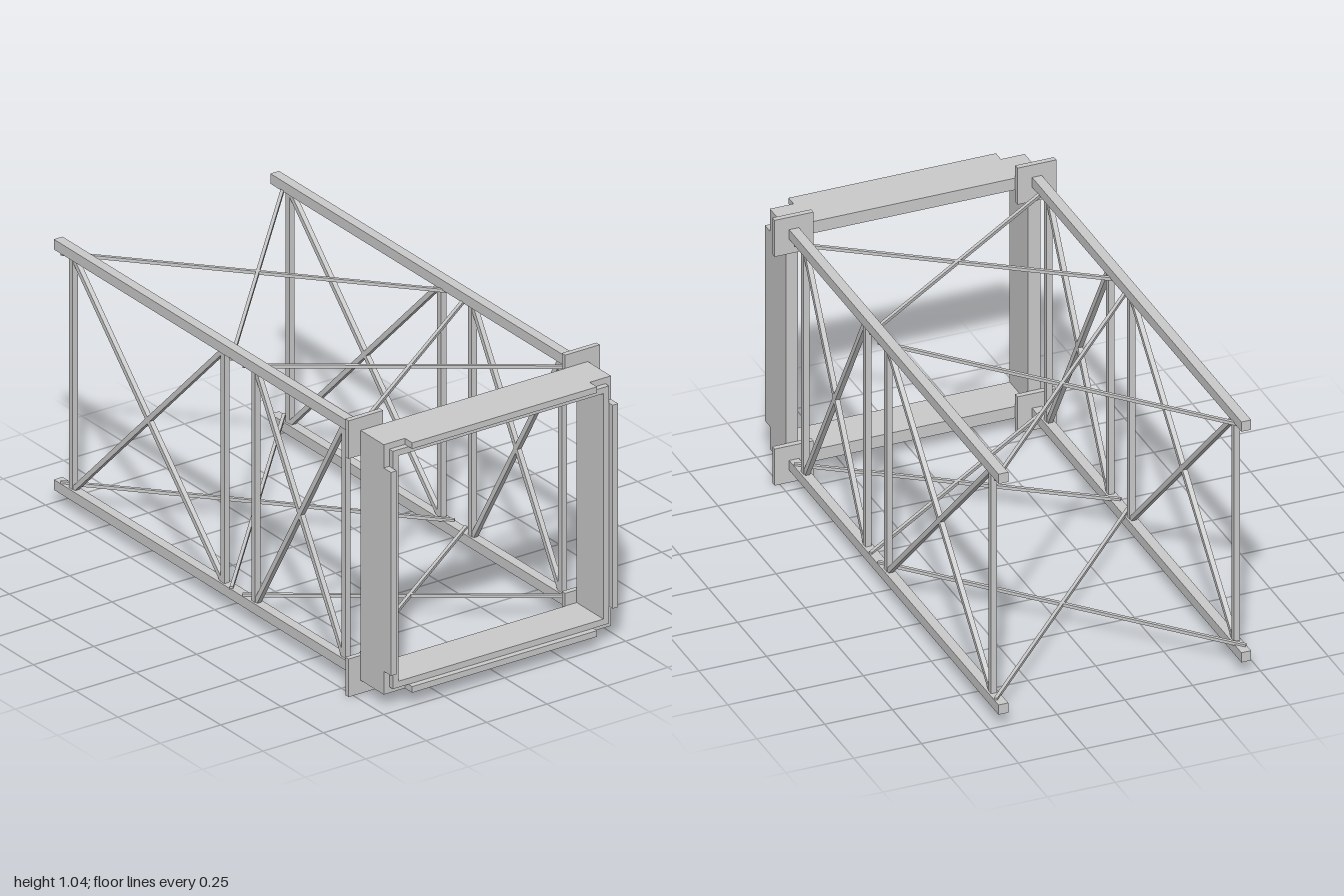
import * as THREE from 'three';

const material = new THREE.MeshStandardMaterial({ color: 0xcccccc, flatShading: true });
const CY = 0.52;      // height of the long axis
const R = 0.448;      // distance of each rail from the axis

function add(parent, name, geometry) {
  const mesh = new THREE.Mesh(geometry, material);
  mesh.name = name;
  parent.add(mesh);
  return mesh;
}

function box(parent, name, size, pos) {
  const mesh = add(parent, name, new THREE.BoxGeometry(...size));
  mesh.position.set(...pos);
  return mesh;
}

// Square bar between two points
function bar(parent, name, a, b, w) {
  const p = new THREE.Vector3(...a), q = new THREE.Vector3(...b);
  const mesh = box(parent, name, [w, w, p.distanceTo(q)], p.clone().add(q).multiplyScalar(0.5).toArray());
  mesh.quaternion.setFromRotationMatrix(new THREE.Matrix4().lookAt(q, p, mesh.up));
}

// Square ring with a square opening, from z0 to z1
function ring(parent, name, outer, inner, z0, z1) {
  const square = (T, r) => new T([[-r, -r], [r, -r], [r, r], [-r, r]].map(p => new THREE.Vector2(...p)));
  const shape = square(THREE.Shape, outer);
  shape.holes.push(square(THREE.Path, inner));
  add(parent, name, new THREE.ExtrudeGeometry(shape, { depth: z1 - z0, bevelEnabled: false })).position.z = z0;
}

export function createModel() {
  const model = new THREE.Group();
  model.name = 'trussTower';
  const body = new THREE.Group();
  body.name = 'body';
  body.position.y = CY;
  model.add(body);

  // Square collar at the front: two nested layers, the outer one notched at its corners
  const collar = new THREE.Group();
  collar.name = 'collar';
  body.add(collar);
  ring(collar, 'collarOuterLayer', 0.47, 0.447, 0.82, 0.957);
  ring(collar, 'collarInnerLayer', 0.447, 0.424, 0.82, 0.978);
  for (let i = 0; i < 4; i++) {
    const side = new THREE.Group();
    side.name = 'collarLip';
    side.rotation.z = i * Math.PI / 2;
    collar.add(side);
    box(side, 'lip', [0.765, 0.023, 0.043], [0, 0.4585, 0.9785]);
  }

  // Corner plates and long rails
  for (const sx of [-1, 1]) for (const sy of [-1, 1]) {
    box(body, 'cornerPlate', [0.143, 0.143, 0.02], [sx * R, sy * R, 0.81]);
    box(body, 'rail', [0.036, 0.038, 1.8], [sx * R, sy * 0.452, -0.1]);
  }

  // Two braced bays: posts and diagonals on the sides, thin crosses above and below
  const bays = [
    { posts: [0.703, 0.17], cross: [0.765, 0.11] },
    { posts: [-0.012, -0.909], cross: [0.045, -0.965] },
  ];
  const Y = 0.434;
  for (const { posts, cross } of bays) {
    const [p0, p1] = posts, [c0, c1] = cross;
    for (const s of [-1, 1]) {
      const x = s * R;
      for (const z of posts) box(body, 'post', [0.022, 2 * Y, 0.022], [x, 0, z]);
      bar(body, 'sideDiagonal', [x, -Y, p0 - 0.008], [x, Y, p1 + 0.008], 0.018);
      bar(body, 'sideDiagonal', [x, Y, p0 - 0.008], [x, -Y, p1 + 0.008], 0.018);
      const y = s * 0.431;
      bar(body, 'flatDiagonal', [-0.462, y, c0], [0.462, y, c1], 0.012);
      bar(body, 'flatDiagonal', [0.462, y, c0], [-0.462, y, c1], 0.012);
    }
  }
  return model;
}
